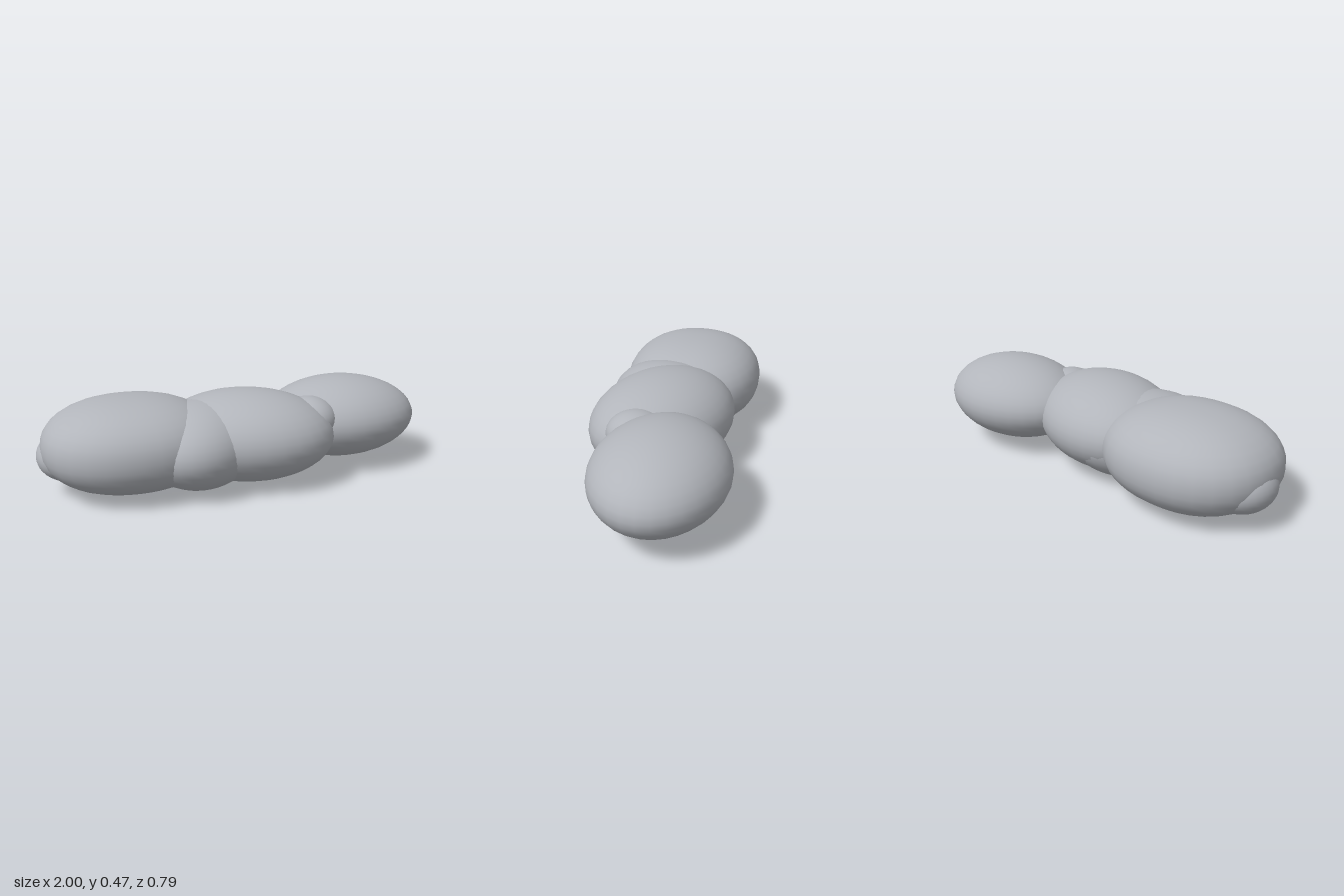
import * as THREE from 'three';

const stone = new THREE.MeshStandardMaterial({ color: 0xb2b5bb });
stone.name = 'paleGrey';

// Rounded lobe: radii r about centre c; p is the roundness power (2 = ellipsoid),
// shear slides the lobe in x along its depth.
function lobe(name, c, r, p = 2, shear = 0) {
  const g = new THREE.SphereGeometry(1, 32, 20);
  const pos = g.attributes.position;
  const nor = g.attributes.normal;
  const n = new THREE.Vector3();
  for (let i = 0; i < pos.count; i++) {
    const x = pos.getX(i), y = pos.getY(i), z = pos.getZ(i);
    const k = (Math.abs(x) ** p + Math.abs(y) ** p + Math.abs(z) ** p) ** (-1 / p);
    const px = x * k, py = y * k, pz = z * k;
    pos.setXYZ(i, px * r[0] + shear * pz * r[2], py * r[1], pz * r[2]);
    // gradient of the rounded shape, carried through the shear
    const slope = (v, s) => Math.sign(v) * Math.abs(v) ** (p - 1) / s;
    const nx = slope(px, r[0]);
    n.set(nx, slope(py, r[1]), slope(pz, r[2]) - shear * nx).normalize();
    nor.setXYZ(i, n.x, n.y, n.z);
  }
  const mesh = new THREE.Mesh(g, stone);
  mesh.name = name;
  mesh.position.set(...c);
  return mesh;
}

export function createModel() {
  const model = new THREE.Group();
  model.name = 'lobedBody';
  model.add(
    // main chain of lobes, from +x to -x
    lobe('leftEndLobe', [0.58, 0.253, -0.08], [0.415, 0.212, 0.317], 1.95),
    lobe('middleLobe', [0.02, 0.235, 0.045], [0.425, 0.226, 0.345], 2, 0.22),
    lobe('neckLobe', [-0.2, 0.212, 0.055], [0.3, 0.212, 0.337], 2, -0.25),
    lobe('rightEndLobe', [-0.55, 0.235, 0.003], [0.43, 0.225, 0.365], 2.2),
    // small swellings
    lobe('jointBump', [0.34, 0.3, 0.09], [0.14, 0.11, 0.15]),
    lobe('tipBump', [-0.85, 0.19, -0.02], [0.15, 0.12, 0.17])
  );
  return model;
}
